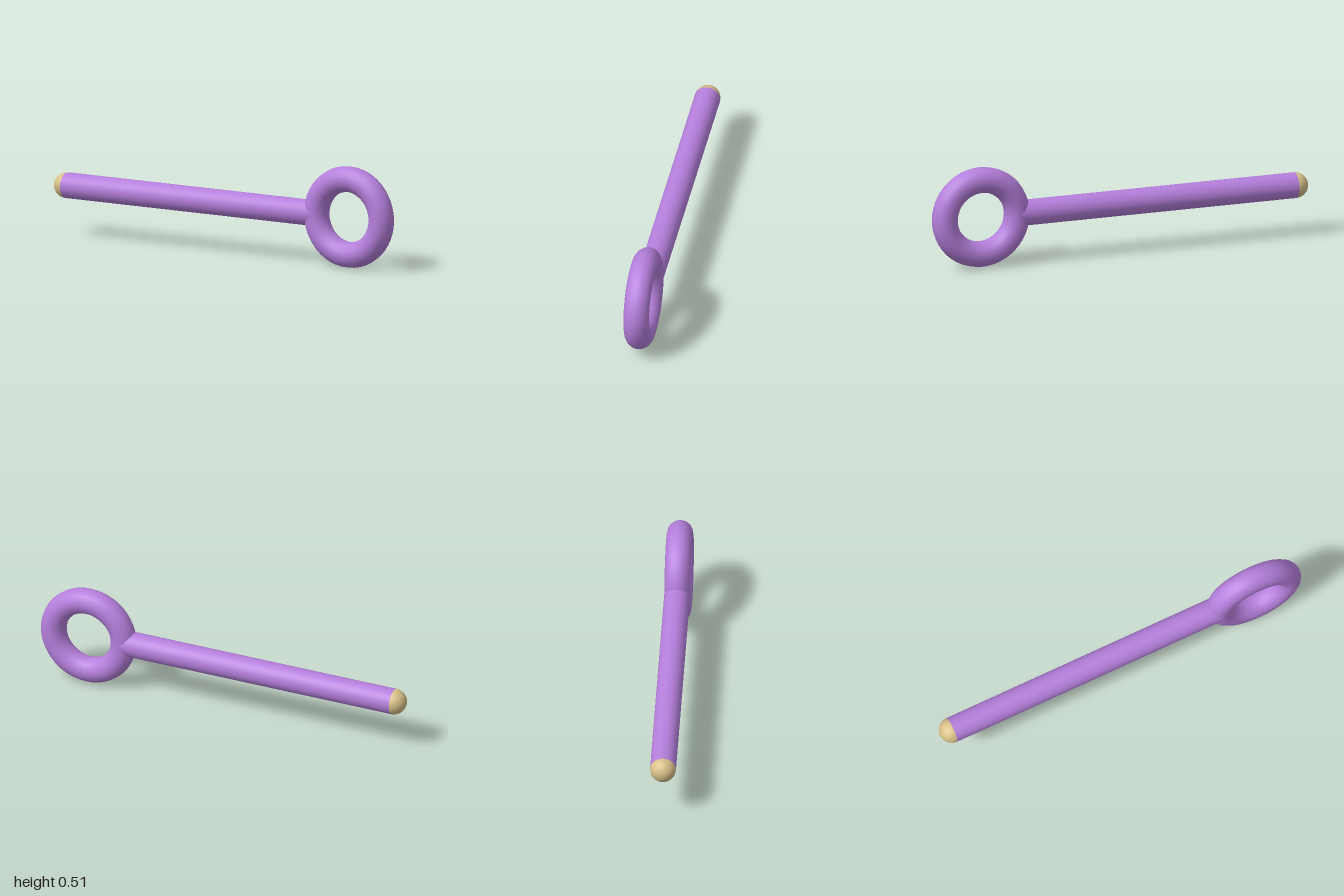
import * as THREE from 'three';

export function createModel() {
  const model = new THREE.Group();
  const purple = new THREE.MeshStandardMaterial({ color: 0xb57fdc });
  purple.name = 'purple';
  const tan = new THREE.MeshStandardMaterial({ color: 0xd8c088 });
  tan.name = 'tan';

  const radius = 0.065;      // shared by the bar, the ring's tube and the tip
  const ringRadius = 0.192;
  const axisY = 0.259;
  const ringX = 1 - ringRadius - radius;
  const barStart = -1 + radius;
  const barEnd = ringX - ringRadius;

  const add = (name, geometry, material, x) => {
    const mesh = new THREE.Mesh(geometry, material);
    mesh.name = name;
    mesh.position.set(x, axisY, 0);
    model.add(mesh);
  };

  // Round handle, standing upright
  add('ring', new THREE.TorusGeometry(ringRadius, radius, 16, 48), purple, ringX);

  // Straight bar reaching into the ring's tube
  const bar = new THREE.CylinderGeometry(radius, radius, barEnd - barStart, 24);
  bar.rotateZ(Math.PI / 2);
  add('bar', bar, purple, (barStart + barEnd) / 2);

  // Half-round tip on the free end
  const tip = new THREE.SphereGeometry(radius, 24, 8, 0, Math.PI * 2, 0, Math.PI / 2);
  tip.rotateZ(Math.PI / 2);
  add('tip', tip, tan, barStart);

  return model;
}
